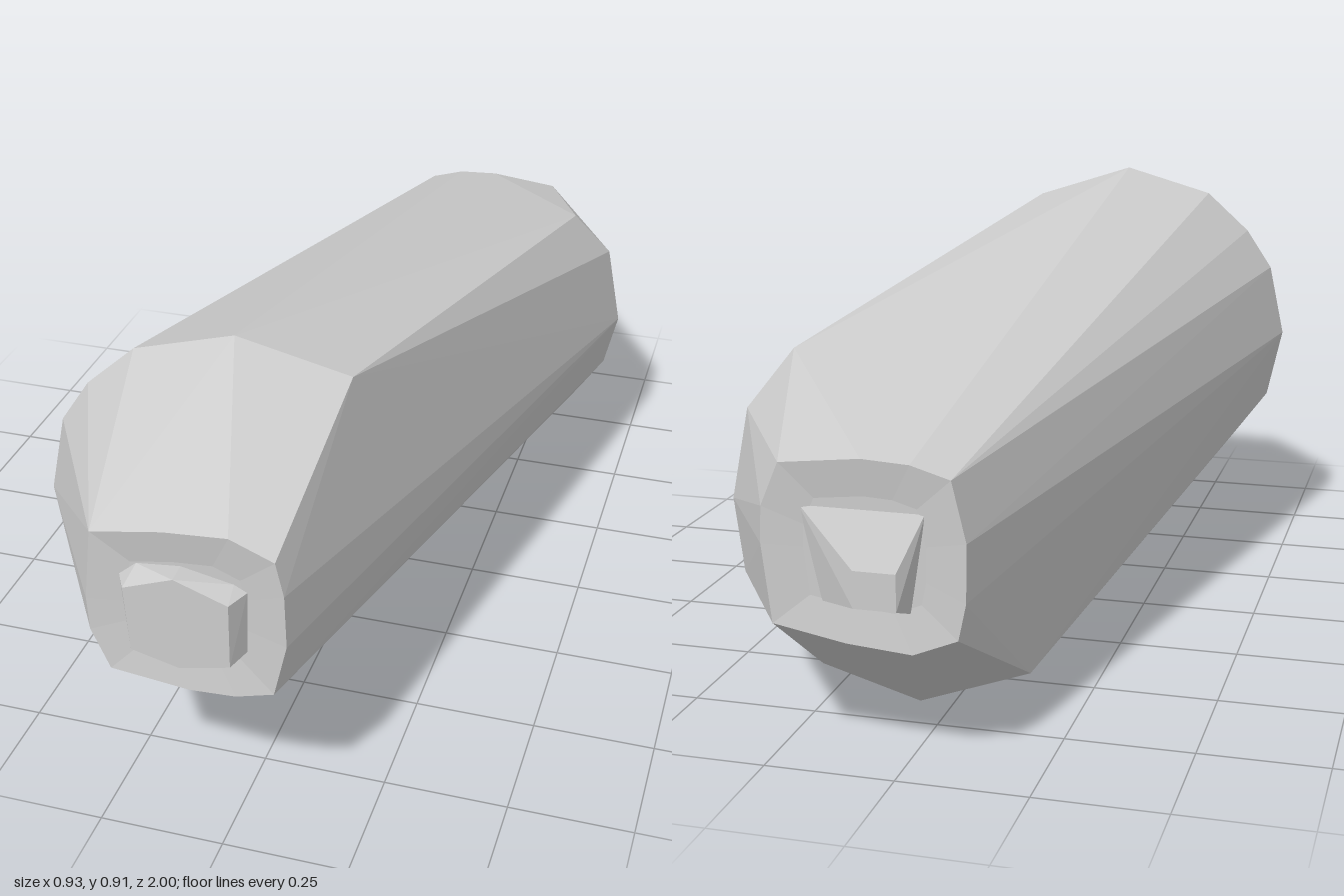
import * as THREE from 'three';
import { ConvexGeometry } from 'three/addons/geometries/ConvexGeometry.js';

const V = (p) => new THREE.Vector3(...p);
const MID_Y = 0.456;
// opposite end of the body: point reflection through its centre
const opposite = ([x, y, z]) => [-x, 2 * MID_Y - y, -z];

export function createModel() {
  const group = new THREE.Group();
  const material = new THREE.MeshStandardMaterial({ color: 0xcccccc, flatShading: true });
  const add = (name, geometry) => {
    const mesh = new THREE.Mesh(geometry, material);
    mesh.name = name;
    group.add(mesh);
  };

  // wide shoulder at the front end
  const shoulder = [
    [-0.345, 0.235, 0.65], [-0.43, 0.35, 0.65], [-0.465, 0.51, 0.65],
    [-0.43, 0.673, 0.65], [-0.37, 0.763, 0.65], [-0.27, 0.853, 0.65],
    [-0.067, 0.911, 0.65], [0.15, 0.842, 0.62],
  ];
  const backShoulder = shoulder.map(opposite);
  backShoulder[0] = [0.352, 0.677, -0.55];
  backShoulder[1] = [0.43, 0.565, -0.61];
  backShoulder[2] = [0.463, 0.38, -0.62];

  // rim of the front end, counter-clockwise
  const rim = [
    [0.127, 0.47], [0.125, 0.58], [0.11, 0.65], [0.025, 0.685],
    [-0.1, 0.675], [-0.24, 0.65], [-0.258, 0.5], [-0.255, 0.43],
    [-0.22, 0.347], [-0.065, 0.33], [0.025, 0.335], [0.1, 0.357],
  ].map(([x, y]) => [x, y, 0.96]);
  const backRim = rim.map(opposite).reverse();

  // faceted body, left open at both ends
  const hull = new ConvexGeometry([...shoulder, ...backShoulder, ...rim, ...backRim].map(V));
  const pos = hull.attributes.position;
  const kept = [];
  for (let i = 0; i < pos.count; i += 3) {
    const tri = [i, i + 1, i + 2];
    if (tri.every((k) => Math.abs(pos.getZ(k)) > 0.955)) continue;
    tri.forEach((k) => kept.push(pos.getX(k), pos.getY(k), pos.getZ(k)));
  }
  const body = new THREE.BufferGeometry();
  body.setAttribute('position', new THREE.Float32BufferAttribute(kept, 3));
  body.computeVertexNormals();
  add('body', body);

  // shallow dished end: rim, inner ring, centre
  const dish = (ring, cx, cy, zInner) => {
    const inner = ring.map(([x, y]) => [cx + (x - cx) * 0.6, cy + (y - cy) * 0.6, zInner]);
    const centre = [cx, cy, zInner];
    const out = [];
    ring.forEach((a, i) => {
      const j = (i + 1) % ring.length;
      out.push(a, ring[j], inner[j], a, inner[j], inner[i], inner[i], inner[j], centre);
    });
    const geometry = new THREE.BufferGeometry();
    geometry.setAttribute('position', new THREE.Float32BufferAttribute(out.flat(), 3));
    geometry.computeVertexNormals();
    return geometry;
  };
  add('frontEnd', dish(rim, -0.065, 0.505, 0.95));
  // reflected and reversed rim needs the other winding
  add('backEnd', dish(isClockwise(backRim) ? backRim : backRim.reverse(), 0.065, 0.405, -0.95));

  // front knob: tapered stub
  const frontKnob = [
    ...[[-0.19, 0.565], [-0.155, 0.595], [-0.07, 0.605], [0.03, 0.585], [0.055, 0.572],
      [0.05, 0.44], [0.015, 0.405], [-0.14, 0.405], [-0.17, 0.435]].map((p) => [...p, 0.955]),
    ...[[-0.165, 0.57], [-0.067, 0.607], [0.035, 0.57], [0.033, 0.435],
      [-0.065, 0.412], [-0.157, 0.435]].map((p) => [...p, 1]),
  ];
  add('frontKnob', new ConvexGeometry(frontKnob.map(V)));

  // back knob: wedge with a long slope above
  const backKnob = [
    ...[[-0.05, 0.49], [0.19, 0.49], [0.15, 0.31], [-0.02, 0.3]].map((p) => [...p, -0.948]),
    ...[[-0.01, 0.39], [0.07, 0.39], [0.07, 0.32], [-0.01, 0.32]].map((p) => [...p, -1]),
  ];
  add('backKnob', new ConvexGeometry(backKnob.map(V)));
  return group;
}

// winding as seen from +z
function isClockwise(ring) {
  return ring.reduce((s, [x, y], i) => {
    const [u, v] = ring[(i + 1) % ring.length];
    return s + x * v - u * y;
  }, 0) < 0;
}
